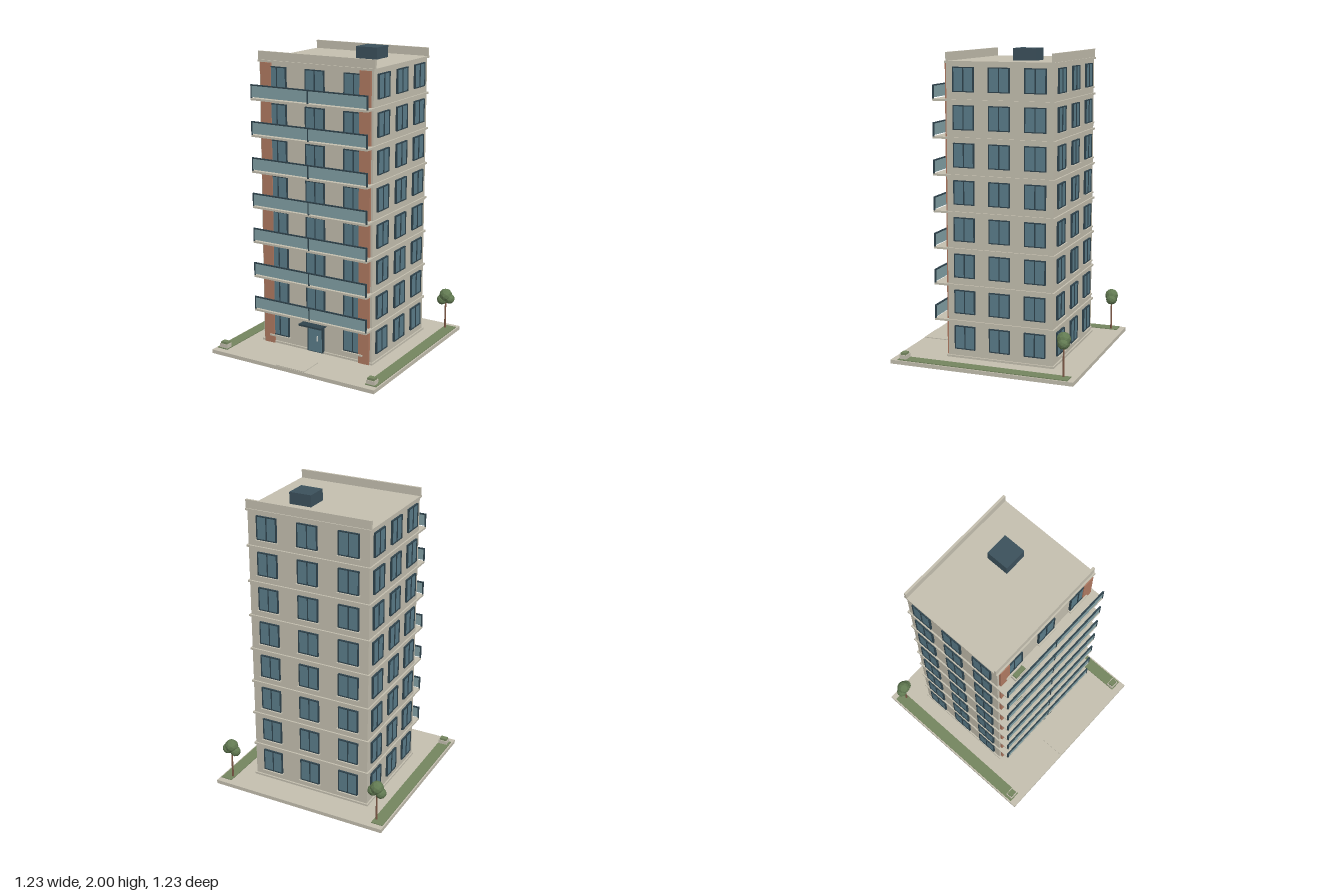
import * as THREE from 'three';
import { mergeGeometries } from 'three/addons/utils/BufferGeometryUtils.js';

const mat = (name, color, extra = {}) => {
  const m = new THREE.MeshStandardMaterial({ color, ...extra });
  m.name = name;
  return m;
};

// Box geometry given by its minimum and maximum on each axis
function span(x0, x1, y0, y1, z0, z1) {
  const g = new THREE.BoxGeometry(x1 - x0, y1 - y0, z1 - z0);
  return g.translate((x0 + x1) / 2, (y0 + y1) / 2, (z0 + z1) / 2);
}

export function createModel() {
  const model = new THREE.Group();
  model.name = 'apartmentBlock';

  const stone = mat('stone', 0xc4bfaf);
  const brick = mat('brick', 0xb07a62);
  const glass = mat('windowGlass', 0x5b7d8a);
  const railGlass = mat('balconyGlass', 0x83a1a6);
  const dark = mat('darkMetal', 0x2f434d);
  const roofMetal = mat('roofMetal', 0x3c515c);
  const grass = mat('grass', 0x74855f);
  const leaf = mat('leaves', 0x627a52, { flatShading: true });
  const bark = mat('bark', 0x7d5846);
  const handleMetal = mat('handleMetal', 0xc9cfca);

  const add = (name, geometry, material, parent = model) => {
    const mesh = new THREE.Mesh(geometry, material);
    mesh.name = name;
    parent.add(mesh);
    return mesh;
  };
  const group = (name, parent = model) => {
    const g = new THREE.Group();
    g.name = name;
    parent.add(g);
    return g;
  };

  const FLOORS = 8, STEP = 0.2355, BASE = 0.04;
  const HX = 0.415, ZF = 0.29, ZB = -0.415, ZMID = -0.062;
  const ROOF = BASE + FLOORS * STEP;

  // Ground plate, path and lawns
  add('groundPlate', span(-0.613, 0.613, 0, 0.025, -0.613, 0.613), stone);
  add('entrancePath', span(-0.107, 0.107, 0.025, 0.03, 0.445, 0.61), stone);
  for (const s of [-1, 1]) {
    const lawn = add('lawn', span(-0.0395, 0.0395, 0.025, 0.03, -0.573, 0.567), grass);
    lawn.position.x = s * 0.5635;
  }

  // Main body, floor bands and roof
  add('walls', span(-HX, HX, 0.025, ROOF - 0.012, ZB, ZF), stone);
  for (let i = 0; i <= FLOORS; i++) {
    const y = BASE + i * STEP;
    add(i === FLOORS ? 'roofSlab' : 'floorBand', span(-0.425, 0.425, y - 0.013, y, -0.426, 0.3), stone);
  }
  add('frontParapet', span(-0.425, 0.425, ROOF, 1.978, 0.275, 0.29), stone);
  add('backParapet', span(-0.425, 0.425, ROOF, 1.978, -0.419, -0.404), stone);
  add('roofUnit', span(0.076, 0.227, ROOF, 2, -0.23, -0.08), roofMetal);

  // Brick piers at the front corners, one length per floor
  for (let i = 0; i < FLOORS; i++) {
    const y = BASE + i * STEP;
    for (const x of [-0.362, 0.362]) {
      add('brickPier', span(x - 0.039, x + 0.039, i ? y : 0.025, y + STEP - 0.013, ZF - 0.005, 0.305), brick);
    }
  }

  // Window shapes: facing +z, origin at bottom centre on the wall plane
  const W = 0.07, H = 0.154, T = 0.006, D = 0.013;
  const frameGeo = mergeGeometries([
    span(-W, W, 0, T, 0, D),
    span(-W, W, H - T, H, 0, D),
    span(-W, -W + T, T, H - T, 0, D),
    span(W - T, W, T, H - T, 0, D),
    span(-T / 2, T / 2, T, H - T, 0, D),
  ]);
  const paneGeo = span(-W + T, W - T, T, H - T, 0, 0.008);
  const sillGeo = span(-0.076, 0.076, -0.01, 0, 0, 0.024);

  function addWindow(x, y, z, turn, sill) {
    const w = group('window');
    add('windowFrame', frameGeo, dark, w);
    add('windowPane', paneGeo, glass, w);
    if (sill) add('windowSill', sillGeo, stone, w);
    w.position.set(x, y, z);
    w.rotation.y = turn;
  }

  for (let i = 0; i < FLOORS; i++) {
    const y = BASE + i * STEP + 0.046;
    for (const k of [-1, 0, 1]) {
      if (i > 0 || k !== 0) addWindow(k * 0.28, y, ZF, 0, true);
      addWindow(k * 0.28, y, ZB, Math.PI, true);
      addWindow(HX, y, ZMID + k * 0.236, Math.PI / 2, false);
      addWindow(-HX, y, ZMID + k * 0.236, -Math.PI / 2, false);
    }
  }

  // Planter: tapered rim box with a hedge on top, standing on y = 0
  function addPlanter(x, y, z, w, d, parent) {
    const p = group('planter', parent);
    add('planterBox', span(-w / 2, w / 2, 0, 0.026, -d / 2, d / 2), stone, p);
    const top = new THREE.BoxGeometry(w * 0.84, 0.014, d * 0.8);
    const pos = top.attributes.position;
    for (let i = 0; i < pos.count; i++) {
      if (pos.getY(i) > 0) pos.setX(i, pos.getX(i) * 0.94).setZ(i, pos.getZ(i) * 0.94);
    }
    top.computeVertexNormals();
    add('planterHedge', top.translate(0, 0.033, 0), grass, p);
    p.position.set(x, y, z);
  }

  // Balconies on every upper floor, planters on alternate ones
  for (let i = 1; i < FLOORS; i++) {
    const b = group('balcony');
    b.position.y = BASE + i * STEP;
    add('balconySlab', span(-0.425, 0.425, -0.013, 0, ZF, 0.382), stone, b);
    add('balconyPanel', span(-0.42, 0.42, 0.008, 0.082, 0.374, 0.38), railGlass, b);
    add('balconyHandrail', span(-0.425, 0.425, 0.08, 0.088, 0.372, 0.382), dark, b);
    for (const x of [-0.421, 0, 0.421]) {
      add('balconyPost', span(x - 0.004, x + 0.004, 0, 0.08, 0.373, 0.382), dark, b);
    }
    if (i % 2) addPlanter(-0.27, 0, 0.329, 0.1, 0.038, b);
  }

  // Entrance: door, frame, handle and canopy
  const door = group('entrance');
  add('doorFrame', span(-0.06, 0.06, 0.03, 0.22, ZF, 0.306), dark, door);
  add('doorLeaf', span(-0.05, 0.05, 0.036, 0.212, 0.3, 0.311), glass, door);
  add('doorHandle', span(0.018, 0.024, 0.112, 0.147, 0.311, 0.318), handleMetal, door);
  add('canopy', span(-0.085, 0.085, 0.221, 0.233, ZF, 0.376), dark, door);

  // Ground planters and trees on both lawns
  const blobs = [[0, 0.268, 0, 0.045], [-0.026, 0.232, 0.004, 0.036], [0.026, 0.245, -0.004, 0.036]];
  for (const s of [-1, 1]) {
    addPlanter(s * 0.558, 0.03, 0.537, 0.06, 0.048, model);
    const tree = group('tree');
    tree.position.set(s * 0.54, 0, -0.528);
    add('treeTrunk', new THREE.CylinderGeometry(0.005, 0.007, 0.2, 7).translate(0, 0.13, 0), bark, tree);
    blobs.forEach(([x, y, z, r], i) => {
      const crown = add('treeCrown', new THREE.IcosahedronGeometry(r, 1), leaf, tree);
      crown.position.set(x, y, z);
      crown.rotation.y = i * 0.8;
    });
  }

  return model;
}
